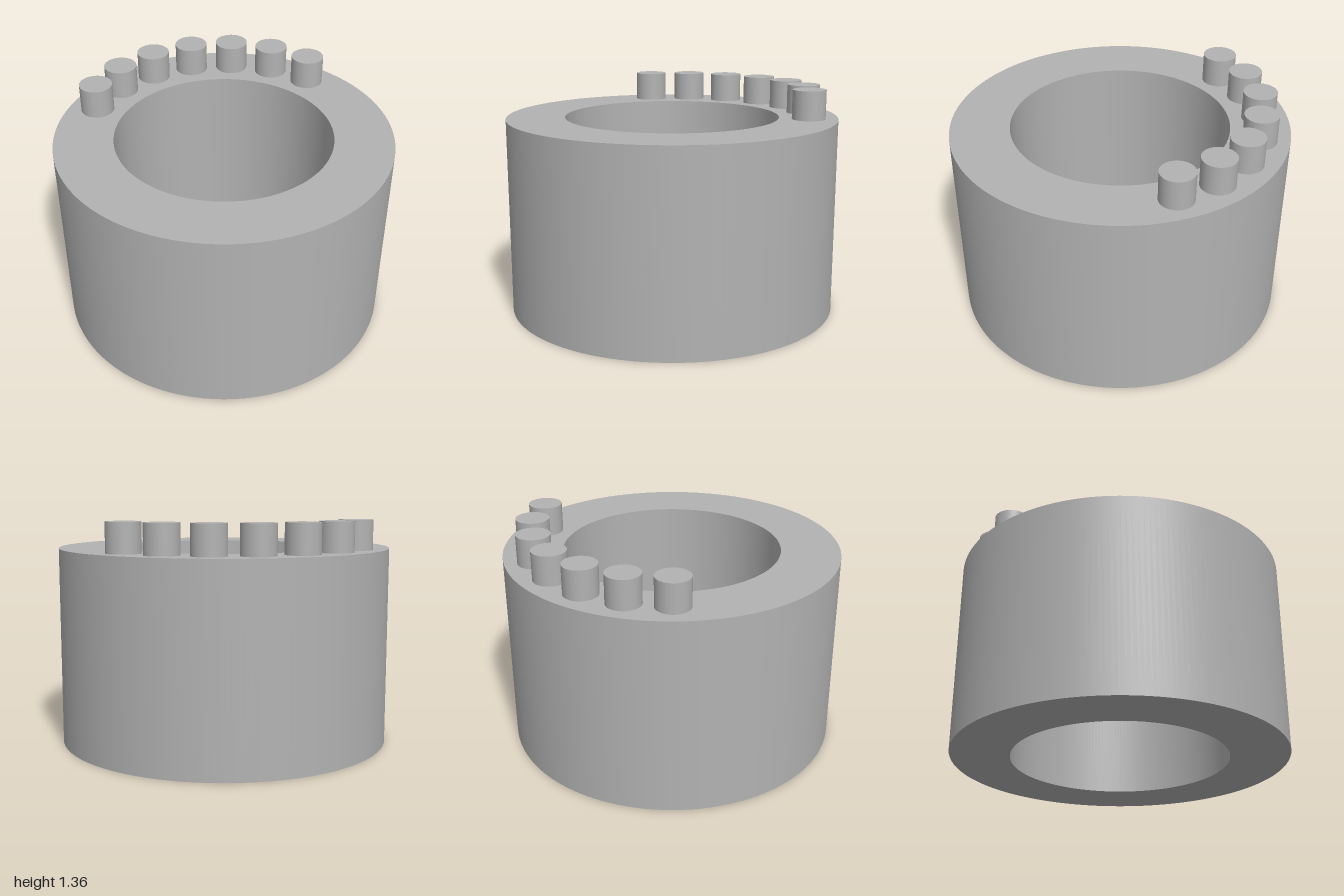
import * as THREE from 'three';
import { toCreasedNormals } from 'three/addons/utils/BufferGeometryUtils.js';

const RING_HEIGHT = 1.18;
const PEG_HEIGHT = 0.175;
const PEG_COUNT = 7;
const PEG_STEP = THREE.MathUtils.degToRad(18.25);
const PEG_CIRCLE = 0.825;

export function createModel() {
  const model = new THREE.Group();
  model.name = 'peggedRing';
  const grey = new THREE.MeshStandardMaterial({ color: 0xb2b2b2 });
  grey.name = 'grey';

  // Thick ring with a bore running right through
  const outline = new THREE.Shape().absarc(0, 0, 1, 0, Math.PI * 2, false);
  outline.holes.push(new THREE.Path().absarc(0, 0, 0.648, 0, Math.PI * 2, true));
  const ringGeometry = new THREE.ExtrudeGeometry(outline, {
    depth: RING_HEIGHT, bevelEnabled: false, curveSegments: 96,
  });
  ringGeometry.rotateX(-Math.PI / 2);
  const ring = new THREE.Mesh(toCreasedNormals(ringGeometry, 0.6), grey);
  ring.name = 'ring';
  model.add(ring);

  // Arc of round pegs along the back of the rim
  const pegs = new THREE.Group();
  pegs.name = 'pegs';
  const pegGeometry = new THREE.CylinderGeometry(0.1, 0.1, PEG_HEIGHT, 48);
  for (let i = 0; i < PEG_COUNT; i++) {
    const angle = (i - (PEG_COUNT - 1) / 2) * PEG_STEP;
    const peg = new THREE.Mesh(pegGeometry, grey);
    peg.name = `peg${i + 1}`;
    peg.position.set(
      PEG_CIRCLE * Math.sin(angle),
      RING_HEIGHT + PEG_HEIGHT / 2,
      -PEG_CIRCLE * Math.cos(angle),
    );
    pegs.add(peg);
  }
  model.add(pegs);

  return model;
}
